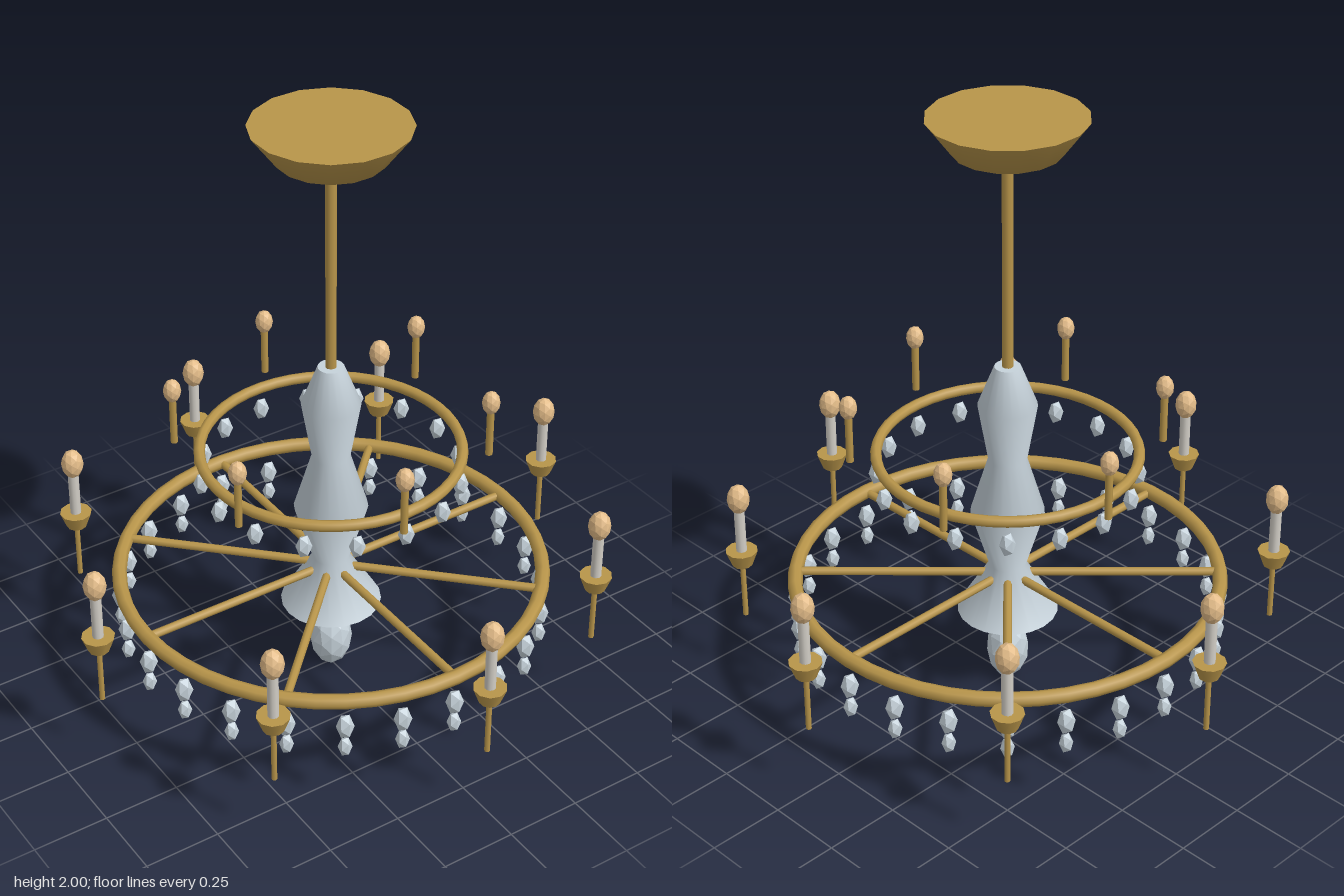
import * as THREE from 'three';

const material = (name, color, flatShading = false) => {
  const m = new THREE.MeshStandardMaterial({ color, flatShading });
  m.name = name;
  return m;
};

export function createModel() {
  const brass = material('brass', 0xb8954a);
  const glass = material('glass', 0xc6d2da);
  const crystal = material('crystal', 0xc6d2da, true);
  const sleeve = material('candle sleeve', 0xd2cec6);
  const bulbGlow = material('bulb', 0xe2bb88, true);

  const model = new THREE.Group();
  model.name = 'chandelier';

  const add = (parent, name, geometry, mat, x = 0, y = 0, z = 0) => {
    const mesh = new THREE.Mesh(geometry, mat);
    mesh.name = name;
    mesh.position.set(x, y, z);
    parent.add(mesh);
    return mesh;
  };
  const group = (name) => {
    const g = new THREE.Group();
    g.name = name;
    model.add(g);
    return g;
  };
  // Cylinder or cone standing between two heights
  const post = (parent, name, rTop, rBottom, y0, y1, mat, sides = 10) =>
    add(parent, name, new THREE.CylinderGeometry(rTop, rBottom, y1 - y0, sides), mat, 0, (y0 + y1) / 2, 0);
  const lathe = (points, sides) =>
    new THREE.LatheGeometry(points.map(([r, y]) => new THREE.Vector2(r, y)), sides);
  const gem = (radius, detail, stretch) =>
    new THREE.IcosahedronGeometry(radius, detail).scale(1, stretch, 1);
  const ringOf = (count, radius, start, place) => {
    for (let i = 0; i < count; i++) {
      const a = start + (i / count) * Math.PI * 2;
      place(radius * Math.cos(a), radius * Math.sin(a), a);
    }
  };

  // Ceiling canopy and hanging rod
  const canopy = group('canopy');
  add(canopy, 'canopyBowl', lathe([[0, 1.868], [0.17, 1.895], [0.248, 2]], 16), brass);
  add(canopy, 'canopyLid', new THREE.CircleGeometry(0.248, 16).rotateX(-Math.PI / 2), brass, 0, 2, 0);
  canopy.rotation.y = Math.PI / 16;
  post(model, 'rod', 0.018, 0.018, 1.16, 1.88, brass);

  // Turned glass column with a sharp-edged foot
  const column = group('column');
  add(column, 'columnBody', lathe([
    [0.165, 0.272], [0.06, 0.445], [0.12, 0.645], [0.062, 0.84], [0.095, 1.035], [0.042, 1.172],
  ], 20), glass);
  add(column, 'columnFoot', lathe([[0, 0.208], [0.165, 0.272]], 20), glass);
  add(column, 'columnTop', new THREE.CircleGeometry(0.042, 20).rotateX(-Math.PI / 2), glass, 0, 1.172, 0);
  add(model, 'finial', gem(0.07, 1, 1.6), crystal, 0, 0.112, 0);

  // Two hoops
  const hoop = (name, radius, tube, y) =>
    add(model, name, new THREE.TorusGeometry(radius, tube, 8, 48).rotateX(Math.PI / 2), brass, 0, y, 0);
  hoop('lowerHoop', 0.69, 0.024, 0.41);
  hoop('upperHoop', 0.416, 0.018, 0.867);

  // Spokes joining the column to the lower hoop
  const spokes = group('spokes');
  const spokeGeometry = new THREE.CylinderGeometry(0.014, 0.014, 0.64, 8)
    .rotateZ(Math.PI / 2);
  ringOf(8, 0.37, 0, (x, z, a) => {
    add(spokes, 'spoke', spokeGeometry, brass, x, 0.41, z).rotation.y = -a;
  });

  // Outer candles: stem, cup, sleeve and bulb
  const outerBulb = gem(0.037, 1, 1.4);
  ringOf(8, 0.861, 0, (x, z) => {
    const candle = group('outerCandle');
    candle.position.set(x, 0, z);
    post(candle, 'stem', 0.009, 0.009, 0.24, 0.45, brass, 8);
    post(candle, 'cup', 0.053, 0.033, 0.438, 0.492, brass, 10);
    post(candle, 'sleeve', 0.018, 0.018, 0.49, 0.655, sleeve, 10);
    add(candle, 'bulb', outerBulb, bulbGlow, 0, 0.686, 0);
  });

  // Inner candles around the upper hoop
  const innerBulb = gem(0.029, 1, 1.4);
  ringOf(6, 0.498, -Math.PI / 8, (x, z) => {
    const candle = group('innerCandle');
    candle.position.set(x, 0, z);
    post(candle, 'stem', 0.012, 0.012, 0.867, 1.035, brass, 8);
    add(candle, 'bulb', innerBulb, bulbGlow, 0, 1.06, 0);
  });

  // Hanging crystal drops
  const drops = (name, count, radius, y, size) => {
    const row = group(name);
    const geometry = gem(size, 0, 1.6);
    ringOf(count, radius, 0, (x, z) => add(row, 'drop', geometry, crystal, x, y, z));
  };
  drops('upperDrops', 16, 0.416, 0.785, 0.026);
  drops('lowerDrops', 24, 0.69, 0.311, 0.029);
  drops('lowerSmallDrops', 24, 0.69, 0.23, 0.023);

  return model;
}
